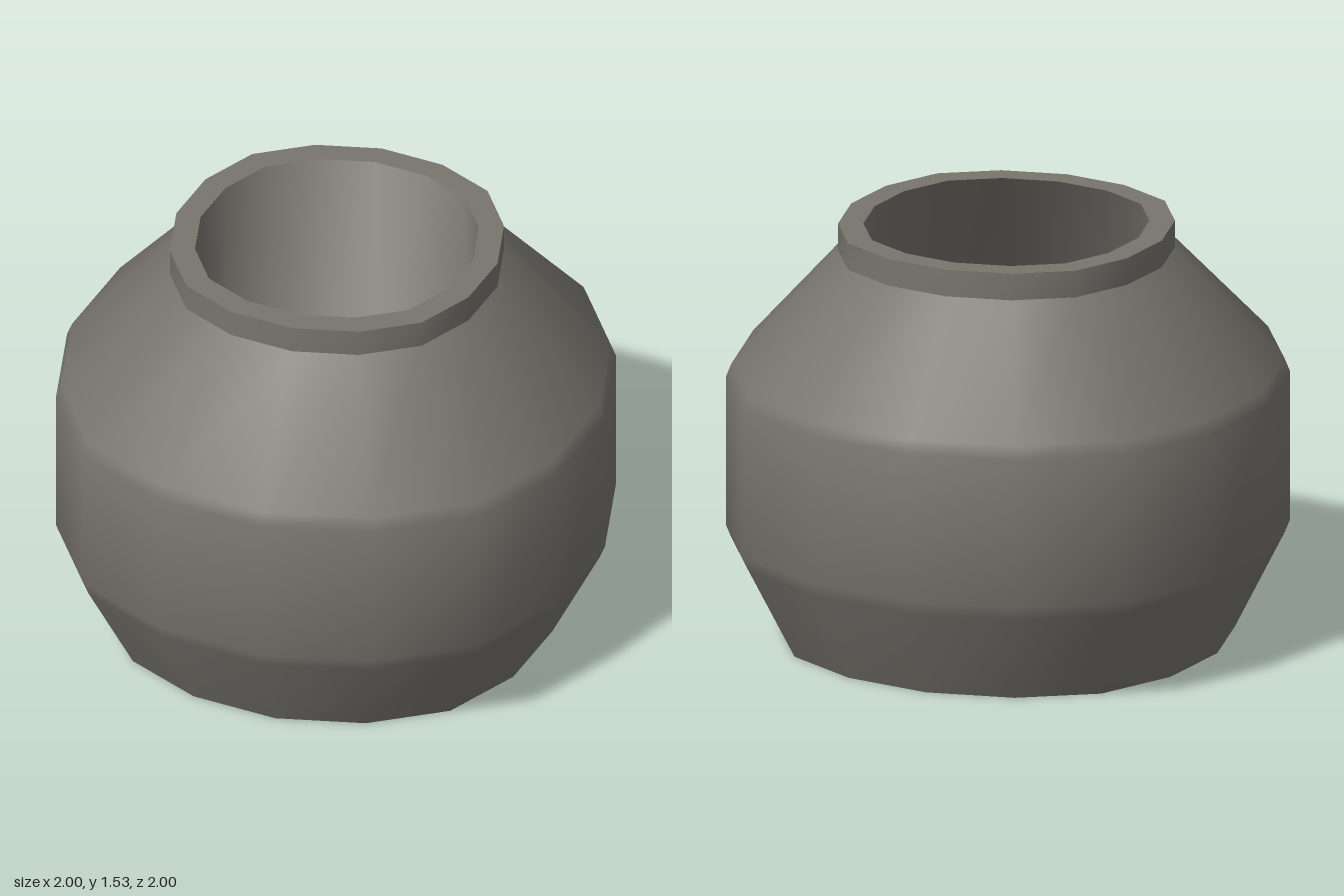
import * as THREE from 'three';
import { toCreasedNormals } from 'three/addons/utils/BufferGeometryUtils.js';

// Slightly squared circle: a quarter turn from +z towards +x, repeated four times
const quarter = [[0, 1], [0.397, 0.93], [0.733, 0.733], [0.93, 0.397]];
const outline = [
  ...quarter,
  ...quarter.map(([x, z]) => [z, -x]),
  ...quarter.map(([x, z]) => [-x, -z]),
  ...quarter.map(([x, z]) => [-z, x]),
];
const SIDES = outline.length;

// Skins a list of rings [radius, y, centreX, centreZ]; radius 0 closes the end
function loft(name, rings, material) {
  const pos = [];
  const point = ([r, y, cx = 0, cz = 0], i) => {
    const [x, z] = outline[i % SIDES];
    return [cx + x * r, y, cz + z * r];
  };
  for (let k = 0; k < rings.length - 1; k++) {
    const lo = rings[k], hi = rings[k + 1];
    for (let i = 0; i < SIDES; i++) {
      const a = point(lo, i), b = point(lo, i + 1), c = point(hi, i + 1), d = point(hi, i);
      if (lo[0] > 0) pos.push(...a, ...b, ...c);
      if (hi[0] > 0) pos.push(...a, ...c, ...d);
    }
  }
  const geometry = new THREE.BufferGeometry();
  geometry.setAttribute('position', new THREE.Float32BufferAttribute(pos, 3));
  const mesh = new THREE.Mesh(toCreasedNormals(geometry, 0.9), material);
  mesh.name = name;
  return mesh;
}

export function createModel() {
  const group = new THREE.Group();
  group.name = 'pot';
  const clay = new THREE.MeshStandardMaterial({ color: 0x78756e });
  const rimX = -0.003, rimZ = -0.023;

  // Flat base, flared foot, upright belly with bevelled edges, sloping shoulder
  group.add(loft('body', [
    [0, 0],
    [0.805, 0],
    [0.98, 0.35],
    [1, 0.4],
    [1, 0.955],
    [0.98, 1.005],
    [0.597, 1.435, rimX, rimZ],
  ], clay));

  // Short collar with a flat lip
  group.add(loft('rim', [
    [0.597, 1.435, rimX, rimZ],
    [0.597, 1.535, rimX, rimZ],
    [0.507, 1.535, rimX, rimZ],
  ], clay));

  // Hollow that slants forward down to a flat floor
  group.add(loft('hollow', [
    [0.507, 1.535, rimX, rimZ],
    [0.507, 0.92, 0.13, 0.375],
    [0, 0.92, 0.13, 0.375],
  ], clay));

  return group;
}
